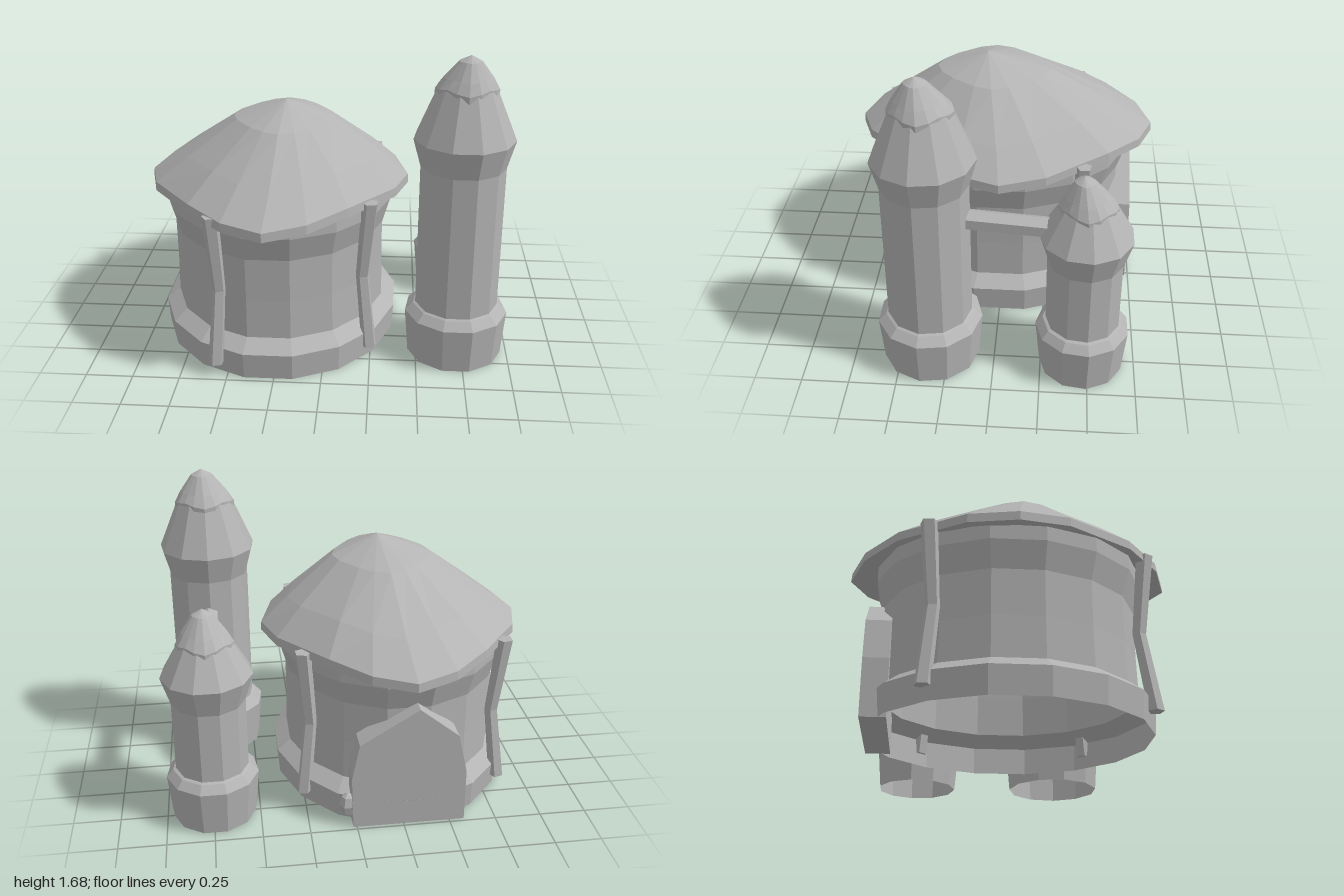
import * as THREE from 'three';

const stone = new THREE.MeshStandardMaterial({ color: 0xb4b4b4, flatShading: true, side: THREE.DoubleSide });
stone.name = 'grey stone';

// Skin a list of equal-length point loops, lowest loop first
function loft(loops, capped = false) {
  const n = loops[0].length, index = [];
  const points = loops.flat();
  for (let j = 0; j < loops.length - 1; j++) {
    for (let i = 0; i < n; i++) {
      const a = j * n + i, b = j * n + (i + 1) % n;
      index.push(a, b, b + n, a, b + n, a + n);
    }
  }
  if (capped) {
    const last = (loops.length - 1) * n;
    for (let i = 1; i < n - 1; i++) index.push(0, i + 1, i, last, last + i, last + i + 1);
  }
  const g = new THREE.BufferGeometry();
  g.setAttribute('position', new THREE.Float32BufferAttribute(points.flat(), 3));
  g.setIndex(index);
  g.computeVertexNormals();
  return g;
}

// Loop of n points around (x, z); the rule gives [radiusX, radiusZ, y] at an angle
function loop(n, x, z, turn, rule) {
  return Array.from({ length: n }, (_, i) => {
    const t = (i / n) * Math.PI * 2 + turn;
    const [rx, rz, y] = rule(t, i);
    return [x + Math.sin(t) * rx, y, z + Math.cos(t) * rz];
  });
}

function add(parent, name, geometry) {
  const m = new THREE.Mesh(geometry, stone);
  m.name = name;
  parent.add(m);
  return m;
}

const HUT_X = -0.28;

function makeHut() {
  const hut = new THREE.Group();
  hut.name = 'hut';

  // Oval wall with a plinth and a flared top
  const flat = 1 / Math.cos(Math.PI / 16);
  const profile = [[0.645, 0], [0.655, 0.145], [0.582, 0.205], [0.578, 0.42], [0.58, 0.66], [0.62, 0.8], [0.62, 0.88]];
  add(hut, 'wall', loft(profile.map(([r, y]) =>
    loop(16, HUT_X, 0, Math.PI / 16, () => [r * flat, r * 1.115 * flat, y]))));

  // Roof: a quarter of the eave outline, mirrored all round
  const eave = [[0, 0.84, 0.85], [0.215, 0.76, 0.865], [0.41, 0.585, 0.885], [0.65, 0.25, 0.865], [0.72, 0, 0.85]];
  const ring = (s, cx, cz, height) => Array.from({ length: 16 }, (_, i) => {
    const q = i % 8, [x, z, y] = eave[q <= 4 ? q : 8 - q];
    const sx = i < 8 ? 1 : -1, sz = i <= 4 || i >= 12 ? 1 : -1;
    return [cx + x * sx * s, height(y), cz + z * sz * s];
  });
  add(hut, 'roof', loft([
    ring(0.8, HUT_X, 0, () => 0.89),
    ring(1, HUT_X, 0, y => y),
    ring(0.995, HUT_X, 0, y => y + 0.048),
    ring(0.76, -0.26, 0.02, y => y + 0.185),
    ring(0.38, -0.242, 0.065, () => 1.25),
    ring(0, -0.225, 0.1, () => 1.352),
  ]));

  // Bent posts leaning in at mid height: [x, z] offsets from the hut centre
  [[0.52, 0.46], [0.53, -0.45], [-0.55, -0.43], [-0.275, 0.685]].forEach(([x, z]) => {
    const rows = [[1.01, 0.07, 0.042], [0.93, 0.48, 0.036], [1, 0.915, 0.045]];
    add(hut, 'post', loft(rows.map(([s, y, r]) =>
      loop(5, HUT_X + x * s, z * s, Math.atan2(x, z), () => [r, r, y])), true));
  });

  // Pointed door slab at the back
  const outline = [[-0.3, 0], [0.3, 0], [0.31, 0.3], [0.27, 0.5], [-0.04, 0.69], [-0.25, 0.52], [-0.3, 0.3]];
  const shape = new THREE.Shape(outline.map(([x, y]) => new THREE.Vector2(x, y)));
  const door = add(hut, 'door', new THREE.ExtrudeGeometry(shape, { depth: 0.13, bevelEnabled: false }));
  door.position.set(HUT_X, 0, -0.73);

  // Small stone beside the door
  const pebble = add(hut, 'doorStone', new THREE.SphereGeometry(0.045, 6, 4));
  pebble.scale.y = 1.6;
  pebble.position.set(0.045, 0.115, -0.68);
  return hut;
}

// Tower from a radius/height profile, topped by a wavy-edged cap
function makeTower(name, x, z, turn, profile, cap) {
  const tower = new THREE.Group();
  tower.name = name;
  add(tower, 'towerBody', loft(profile.map(([r, y]) => loop(11, x, z, turn, () => [r, r, y]))));
  const { r, y, top, dx, dz } = cap;
  const rows = [[0.88, -0.01, 0.2], [1, -0.045, 0.2], [1, 0, 0.2], [0.78, 0.3, 0], [0.36, 0.82, 0], [0, 1, 0]];
  add(tower, 'towerCap', loft(rows.map(([s, h, wave], j) =>
    loop(16, x + dx * (j > 2 ? h : 0), z + dz * (j > 2 ? h : 0), 0, t => {
      const c = Math.cos(4 * t), rr = r * s * (1 + 0.05 * c);
      const yy = j > 2 ? y + h * (top - y) : y + h - c * wave * 0.05;
      return [rr, rr, yy];
    }))));
  return tower;
}

export function createModel() {
  const model = new THREE.Group();
  model.name = 'hutWithTowers';
  model.add(makeHut());

  model.add(makeTower('tallTower', 0.712, 0.342, Math.PI,
    [[0.257, 0], [0.278, 0.25], [0.236, 0.293], [0.223, 0.3], [0.223, 1.09], [0.264, 1.24], [0.15, 1.51]],
    { r: 0.155, y: 1.51, top: 1.677, dx: 0.01, dz: 0.02 }));
  model.add(makeTower('shortTower', 0.745, -0.465, 0,
    [[0.222, 0], [0.246, 0.25], [0.21, 0.293], [0.194, 0.3], [0.194, 0.69], [0.24, 0.84], [0.136, 1.02]],
    { r: 0.142, y: 1.02, top: 1.187, dx: 0.005, dz: 0.025 }));

  // Beam joining the two towers
  const from = new THREE.Vector3(0.72, 0.89, 0.17), to = new THREE.Vector3(0.735, 0.865, -0.32);
  const beam = add(model, 'beam', new THREE.CylinderGeometry(0.056, 0.056, from.distanceTo(to), 6));
  beam.position.copy(from).lerp(to, 0.5);
  beam.quaternion.setFromUnitVectors(new THREE.Vector3(0, 1, 0), to.clone().sub(from).normalize());
  return model;
}
